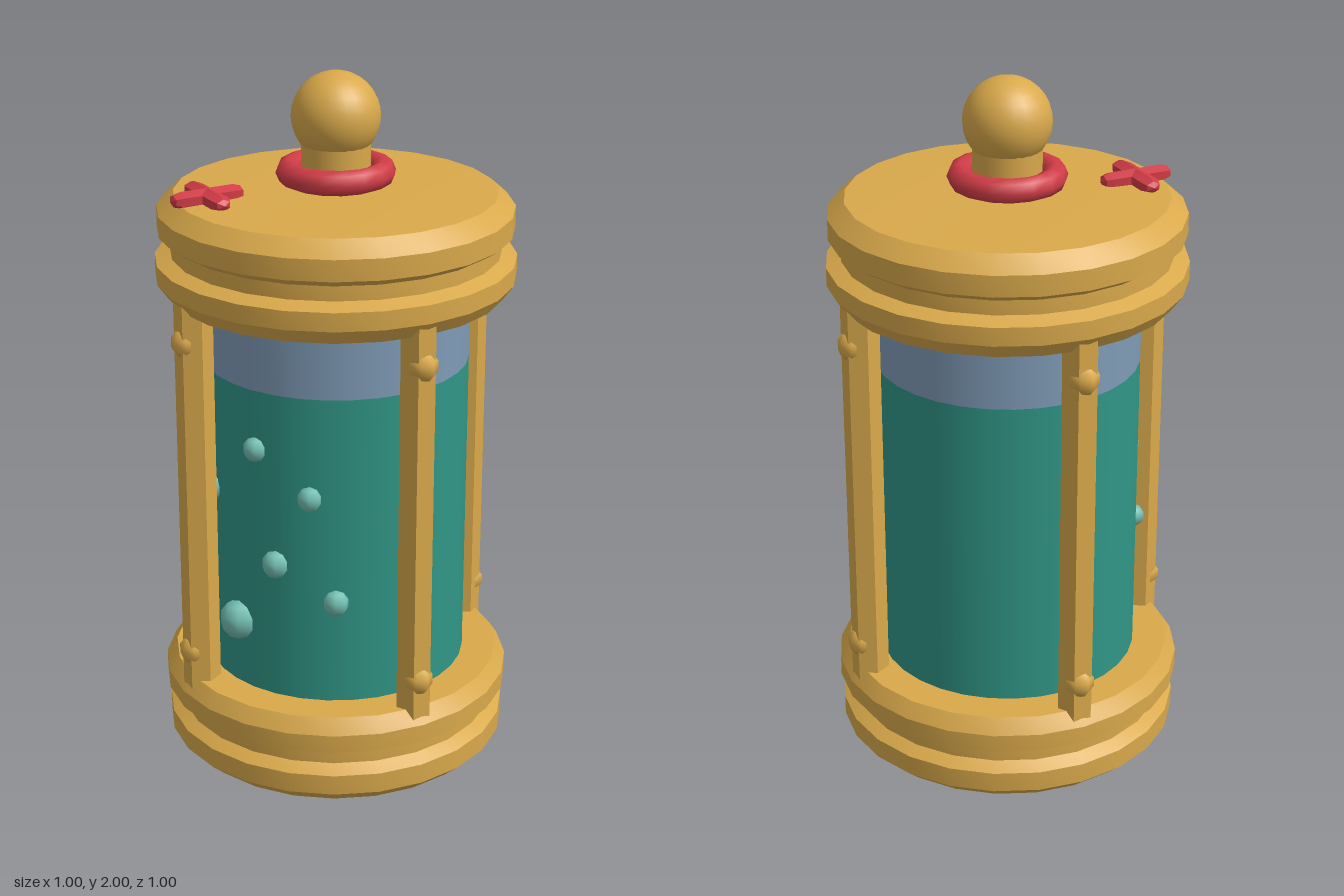
import * as THREE from 'three';
import { toCreasedNormals } from 'three/addons/utils/BufferGeometryUtils.js';

const paint = (name, color) => {
  const m = new THREE.MeshStandardMaterial({ color });
  m.name = name;
  return m;
};

export function createModel() {
  const gold = paint('gold', 0xd9a94b);
  const red = paint('red', 0xd03c46);
  const liquidTeal = paint('liquid teal', 0x309686);
  const glassBlue = paint('glass blue', 0x7f9bb6);
  const bubbleGreen = paint('bubble green', 0x72bdb0);

  const model = new THREE.Group();
  model.name = 'canister';
  const add = (name, geometry, material, x = 0, y = 0, z = 0, parent = model) => {
    const mesh = new THREE.Mesh(geometry, material);
    mesh.name = name;
    mesh.position.set(x, y, z);
    parent.add(mesh);
    return mesh;
  };
  const lathe = (points, sides) => toCreasedNormals(
    new THREE.LatheGeometry(points.map(([r, y]) => new THREE.Vector2(r, y)), sides), 0.5);

  // Grooved end caps: the lid uses the base profile upside down
  const capProfile = [
    [0, 0], [0.445, 0.019], [0.492, 0.061], [0.492, 0.12], [0.458, 0.142],
    [0.458, 0.183], [0.5, 0.2], [0.5, 0.252], [0.47, 0.294], [0, 0.294],
  ];
  add('base', lathe(capProfile, 24), gold);
  add('lid', lathe(capProfile.map(([r, y]) => [r, 1.69 - y]).reverse(), 24), gold);

  // Glass body, filled with liquid up to 1.2
  add('liquid', new THREE.CylinderGeometry(0.373, 0.373, 0.92, 32), liquidTeal, 0, 0.74, 0);
  add('glass', new THREE.CylinderGeometry(0.373, 0.373, 0.22, 32), glassBlue, 0, 1.31, 0);

  // Four hexagonal posts, each with two round studs
  const postGeometry = toCreasedNormals(new THREE.CylinderGeometry(0.053, 0.053, 1.16, 6), 0.5);
  const studGeometry = new THREE.SphereGeometry(0.044, 7, 5);
  for (let i = 0; i < 4; i++) {
    const corner = new THREE.Group();
    corner.name = 'cornerPost' + (i + 1);
    corner.rotation.y = Math.PI / 4 + i * Math.PI / 2;
    add('post', postGeometry, gold, 0, 0.845, 0.44, corner).rotation.y = Math.PI / 6;
    for (const y of [0.38, 1.31]) add('stud', studGeometry, gold, 0, y, 0.463, corner);
    model.add(corner);
  }

  // Bubbles on the front of the body: x, y, radius
  const bubbles = [
    [-0.13, 1.03, 0.035], [0.03, 0.91, 0.036], [-0.07, 0.7, 0.04], [0.1, 0.6, 0.038],
    [-0.195, 0.49, 0.057], [-0.285, 0.855, 0.038], [-0.333, 0.66, 0.032],
  ];
  for (const [x, y, r] of bubbles) {
    add('bubble', new THREE.SphereGeometry(r, 7, 5), bubbleGreen,
      x, y, Math.sqrt(0.372 ** 2 - x * x));
  }

  // Knob with its neck and red collar
  add('knobNeck', new THREE.CylinderGeometry(0.095, 0.095, 0.17, 20), gold, 0, 1.745, 0);
  add('knob', new THREE.SphereGeometry(0.122, 24, 16), gold, 0, 1.878, 0);
  add('collar', new THREE.TorusGeometry(0.13, 0.035, 8, 16), red, 0, 1.725, 0)
    .rotation.x = Math.PI / 2;

  // Red cross lying on the lid, made of two crossed capsules
  const barGeometry = new THREE.CapsuleGeometry(0.031, 0.155, 2, 6);
  barGeometry.rotateZ(Math.PI / 2).scale(1, 0.75, 1);
  const barCreased = toCreasedNormals(barGeometry, 0.5);
  for (const side of [-1, 1]) {
    add('crossBar', barCreased, red, -0.3, 1.687, 0.207).rotation.y = side * Math.PI / 4;
  }

  return model;
}
